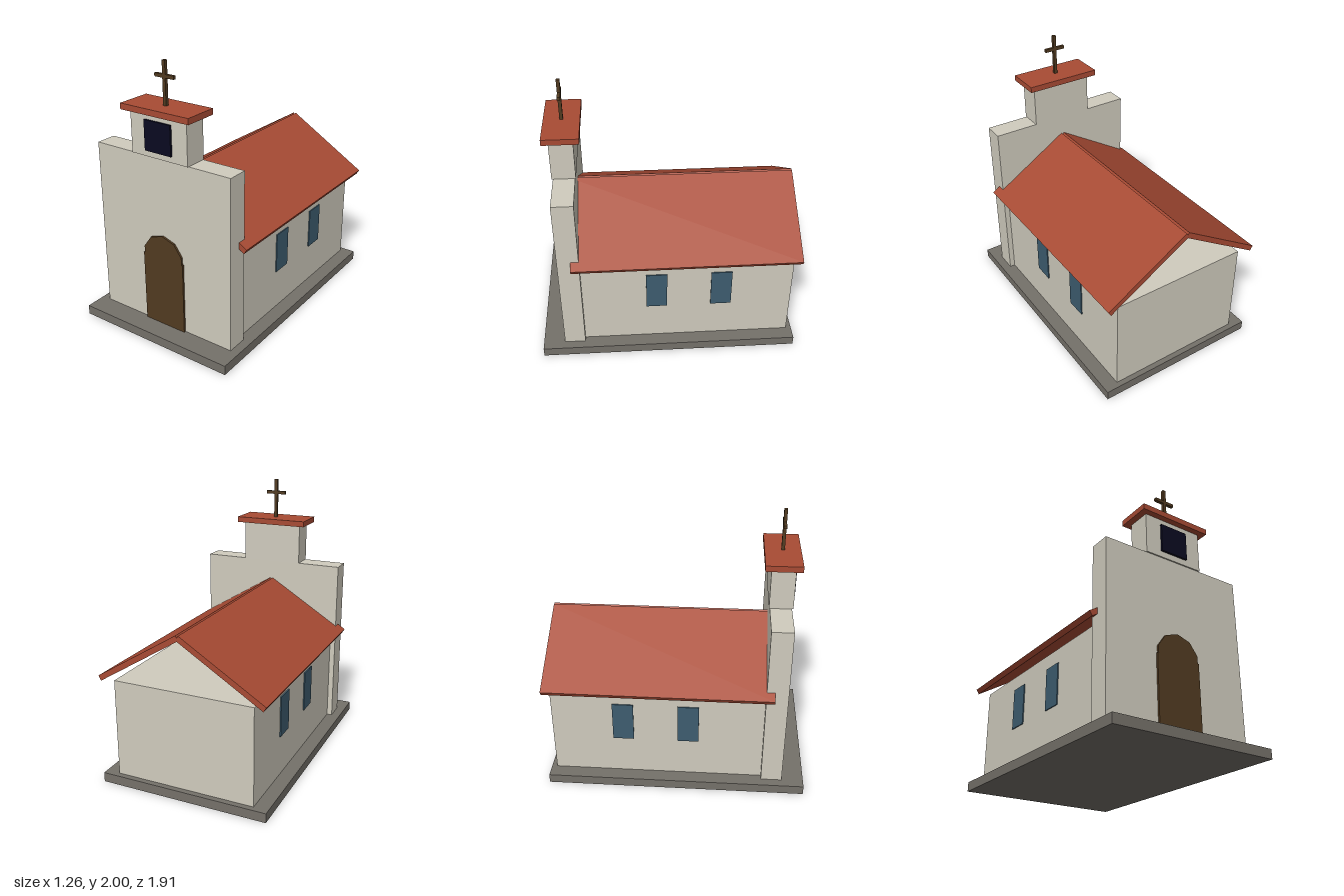
import * as THREE from 'three';

function mat(name, color) {
  const m = new THREE.MeshStandardMaterial({ color });
  m.name = name;
  return m;
}

export function createModel() {
  const group = new THREE.Group();
  const plaster = mat('plaster', 0xd0ccbe);
  const tile = mat('roof tile', 0xa84b34);
  const stone = mat('stone', 0x75716a);
  const wood = mat('dark wood', 0x523b21);
  const glass = mat('window glass', 0x3e5d70);
  const dark = mat('belfry dark', 0x0a0a20);

  function add(name, geometry, material) {
    const mesh = new THREE.Mesh(geometry, material);
    mesh.name = name;
    group.add(mesh);
    return mesh;
  }

  // Box given by its lower and upper limits on each axis
  function box(name, material, [x0, x1], [y0, y1], [z0, z1]) {
    const mesh = add(name, new THREE.BoxGeometry(x1 - x0, y1 - y0, z1 - z0), material);
    mesh.position.set((x0 + x1) / 2, (y0 + y1) / 2, (z0 + z1) / 2);
    return mesh;
  }

  // Plinth, nave and front wall
  box('base', stone, [-0.63, 0.63], [0, 0.07], [-0.955, 0.955]);
  box('nave', plaster, [-0.525, 0.525], [0.07, 0.79], [-0.915, 0.65]);
  box('facade', plaster, [-0.565, 0.565], [0.07, 1.35], [0.64, 0.795]);

  // Two tilted roof slabs meeting in a shallow notch at the ridge
  const run = 0.615, drop = 0.38, thick = 0.04;
  const angle = Math.atan2(drop, run);
  for (const side of [-1, 1]) {
    const slab = add(side > 0 ? 'leftRoof' : 'rightRoof',
      new THREE.BoxGeometry(Math.hypot(run, drop), thick, 1.655), tile);
    slab.rotation.z = -side * angle;
    slab.position.set(
      side * (0.01 + run / 2 - Math.sin(angle) * thick / 2),
      1.205 - drop / 2 - Math.cos(angle) * thick / 2,
      -0.1275);
  }

  // Side windows
  for (const side of [-1, 1]) {
    for (const z of [0.09, -0.388]) {
      const pane = box('window', glass, [-0.004, 0.004], [0.375, 0.68], [z - 0.077, z + 0.077]);
      pane.position.x = side * 0.53;
    }
  }

  // Door with a faceted arch: upper half of a decagon on a rectangle
  const r = 0.173, springY = 0.61;
  const door = new THREE.Shape();
  door.moveTo(-r, 0.07);
  door.lineTo(r, 0.07);
  door.lineTo(r, springY);
  door.lineTo(r * Math.cos(Math.PI / 10), springY);
  for (let i = 0; i < 5; i++) {
    const a = Math.PI * (0.1 + 0.2 * i);
    door.lineTo(r * Math.cos(a), springY + r * Math.sin(a));
  }
  door.lineTo(-r * Math.cos(Math.PI / 10), springY);
  door.lineTo(-r, springY);
  add('door', new THREE.ExtrudeGeometry(door, { depth: 0.018, bevelEnabled: false }), wood)
    .position.z = 0.792;

  // Belfry with its opening and cap
  box('belfry', plaster, [-0.235, 0.235], [1.35, 1.66], [0.635, 0.805]);
  box('belfryOpening', dark, [-0.11, 0.11], [1.395, 1.61], [0.803, 0.82]);
  box('belfryCap', tile, [-0.283, 0.283], [1.655, 1.698], [0.59, 0.848]);

  // Cross
  box('crossPost', wood, [-0.012, 0.012], [1.698, 2], [0.708, 0.732]);
  box('crossArm', wood, [-0.079, 0.079], [1.883, 1.907], [0.709, 0.731]);

  return group;
}
